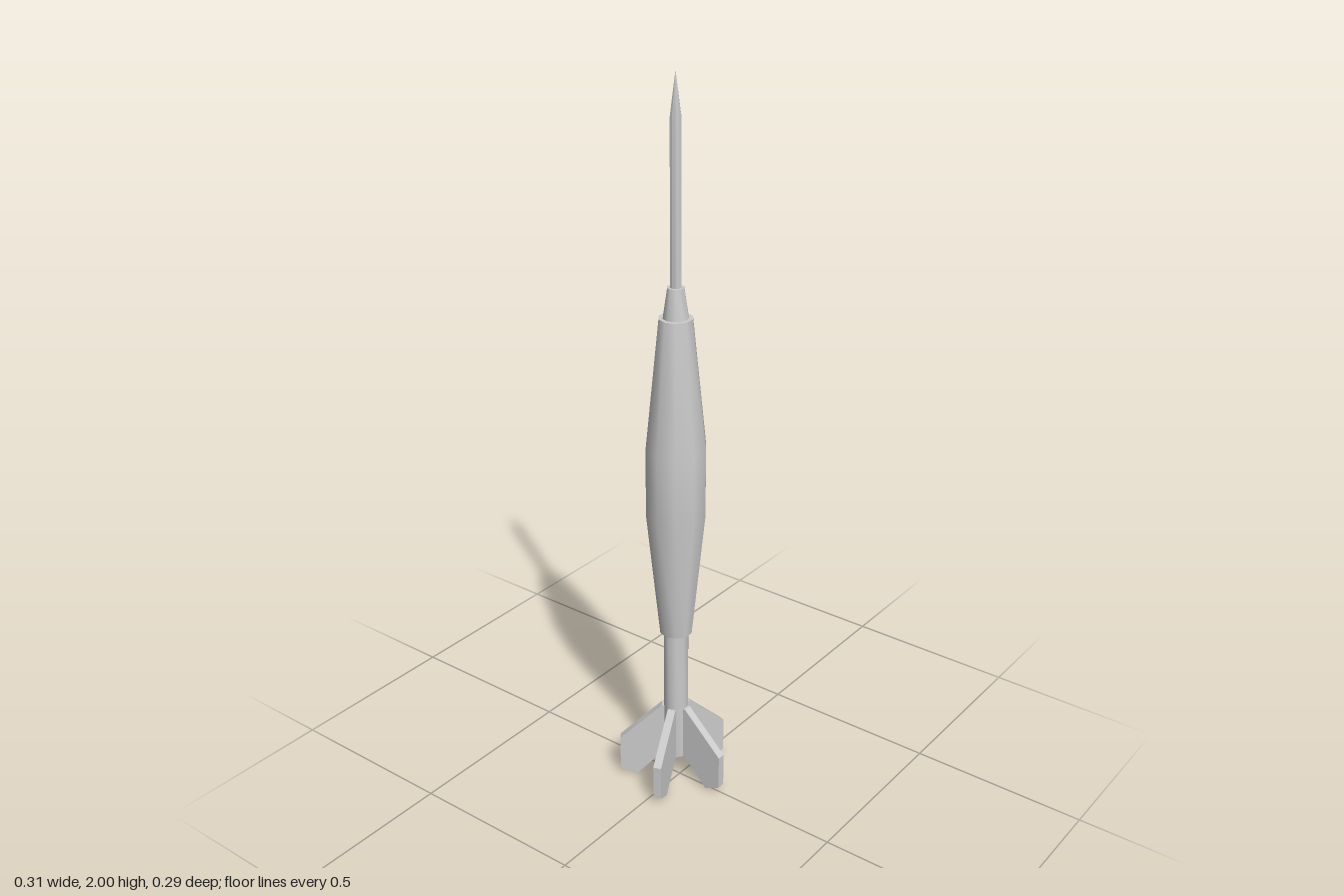
import * as THREE from 'three';
import { toCreasedNormals } from 'three/addons/utils/BufferGeometryUtils.js';

const SIDES = 10;

export function createModel() {
  const root = new THREE.Group();
  root.name = 'finnedDart';
  const axis = new THREE.Group();
  axis.name = 'dart';
  axis.position.z = -0.013; // five fins are not symmetric front to back
  root.add(axis);

  const material = new THREE.MeshStandardMaterial({ color: 0xcccccc });

  // Ten-sided turned part; profile is [radius, y] from bottom to top
  function turned(name, profile) {
    const points = profile.map(([r, y]) => new THREE.Vector2(r, y));
    const lathe = new THREE.LatheGeometry(points, SIDES, Math.PI / 2);
    const mesh = new THREE.Mesh(toCreasedNormals(lathe, 0.7), material);
    mesh.name = name;
    axis.add(mesh);
  }

  turned('tailTube', [[0, 0.075], [0.035, 0.075], [0.035, 0.475], [0, 0.475]]);
  turned('body', [
    [0, 0.475], [0.045, 0.475], [0.082, 0.84], [0.082, 1.03], [0.045, 1.387], [0, 1.387],
  ]);
  turned('collar', [[0, 1.387], [0.034, 1.387], [0.022, 1.467], [0, 1.467]]);
  turned('noseRod', [[0, 1.467], [0.0145, 1.467], [0.0145, 1.89], [0, 2]]);

  // Swept fin outline in (radius, y), extruded across its thickness
  const outline = new THREE.Shape([
    [0.025, 0.235], [0.025, 0.075], [0.04, 0.075], [0.112, 0],
    [0.158, 0.022], [0.158, 0.122], [0.04, 0.235],
  ].map(([r, y]) => new THREE.Vector2(r, y)));
  const thickness = 0.0225;
  const finGeometry = new THREE.ExtrudeGeometry(outline, { depth: thickness, bevelEnabled: false });
  finGeometry.translate(0, 0, -thickness / 2);
  finGeometry.rotateY(-Math.PI / 2); // first fin points to the front

  const fins = new THREE.Group();
  fins.name = 'fins';
  for (let i = 0; i < 5; i++) {
    const fin = new THREE.Mesh(finGeometry, material);
    fin.name = `fin${i + 1}`;
    fin.rotation.y = (i * Math.PI * 2) / 5;
    fins.add(fin);
  }
  axis.add(fins);

  return root;
}
